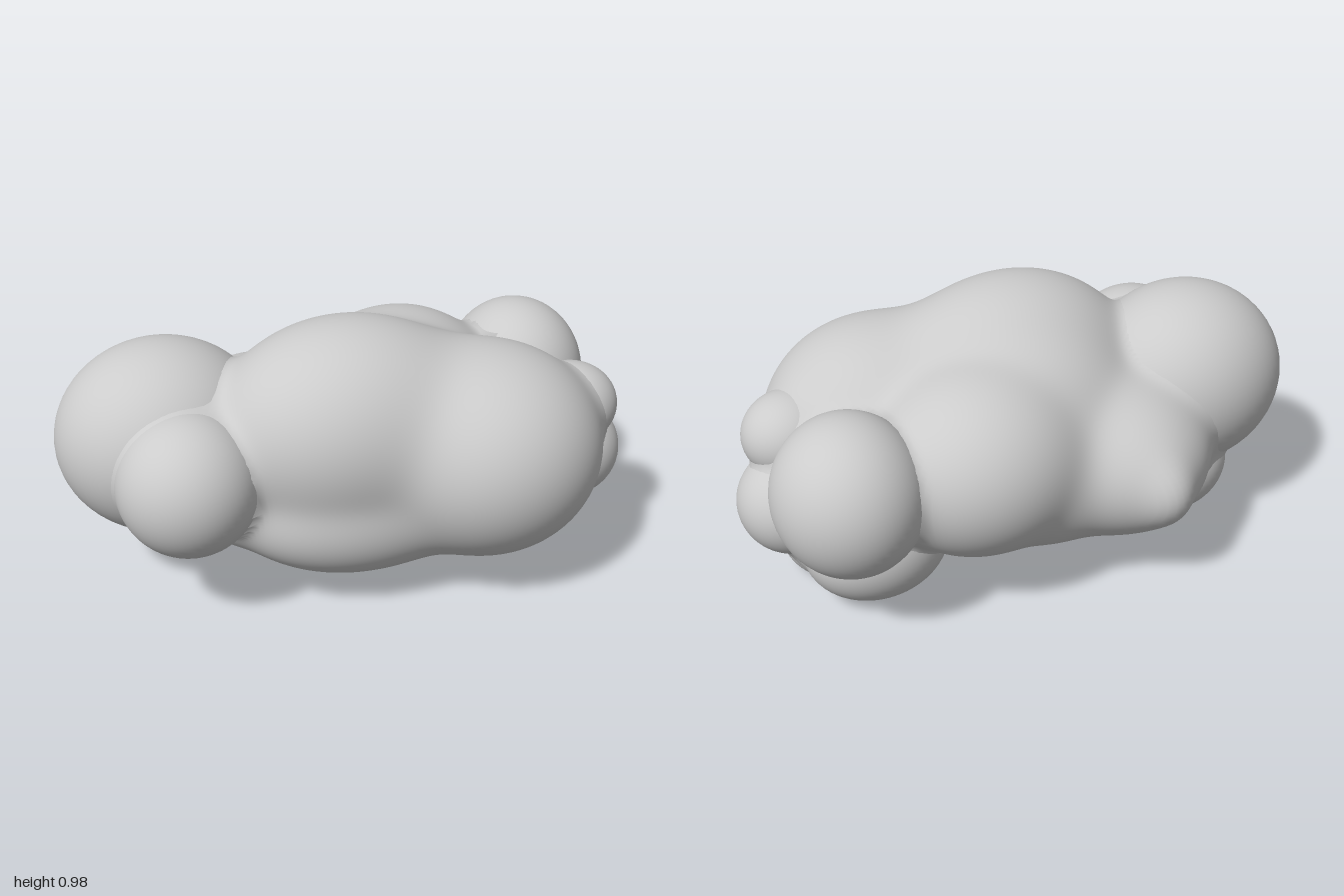
import * as THREE from 'three';

const material = new THREE.MeshStandardMaterial({ color: 0xcccccc });

// Core lobes, melted into one skin: centre x, y, z, then radii x, y, z
const coreLobes = [
  [-0.04, 0.61, 0.12, 0.46, 0.365, 0.355], // crown
  [0.0, 0.335, 0.19, 0.44, 0.24, 0.27], // belly
  [0.42, 0.495, 0.24, 0.41, 0.37, 0.395], // front bulge
  [0.26, 0.52, -0.19, 0.37, 0.32, 0.34], // rear bulge
  [-0.25, 0.42, -0.22, 0.34, 0.28, 0.36], // rear base
  [-0.26, 0.41, -0.49, 0.09, 0.11, 0.13], // rear peak
  [0.2, 0.56, 0.15, 0.35, 0.31, 0.34], // bridge from crown to front bulge
  [0.0, 0.54, -0.08, 0.38, 0.32, 0.3], // bridge from crown to rear
  [0.02, 0.42, -0.21, 0.28, 0.26, 0.27], // rear hollow
  [0.42, 0.25, 0.08, 0.24, 0.17, 0.2], // left underside
  [-0.28, 0.29, 0.0, 0.24, 0.17, 0.22], // right underside
];

// Outer puffs: name, centre, radii
const puffs = [
  ['rightBigPuff', [-0.63, 0.555, -0.09], [0.37, 0.338, 0.333]],
  ['rightFrontPuff', [-0.61, 0.515, 0.2], [0.243, 0.247, 0.245]],
  ['rightLowerPuff', [-0.52, 0.26, -0.15], [0.24, 0.2, 0.23]],
  ['leftRearPuff', [0.73, 0.54, -0.205], [0.252, 0.273, 0.265]],
  ['leftUpperPuff', [0.77, 0.575, 0.18], [0.17, 0.15, 0.16]],
  ['leftLowerPuff', [0.81, 0.36, 0.11], [0.19, 0.185, 0.19]],
  ['leftBottomFrontPuff', [0.62, 0.195, 0.11], [0.24, 0.195, 0.19]],
  ['leftBottomRearPuff', [0.58, 0.205, -0.04], [0.26, 0.205, 0.21]],
];

// The skin also reaches just under every puff, which rounds off the joints
const inset = 0.018;
const skinLobes = coreLobes.concat(
  puffs.map(([, centre, radii]) => [...centre, ...radii.map((r) => r - inset)]),
);

// Smooth union of the lobes: negative inside, positive outside
function skinField(p) {
  const k = 0.03;
  let sum = 0;
  for (const [x, y, z, a, b, c] of skinLobes) {
    const q = Math.hypot((p.x - x) / a, (p.y - y) / b, (p.z - z) / c);
    sum += Math.exp(-((q - 1) * Math.min(a, b, c)) / k);
  }
  return -k * Math.log(sum);
}

// Push every vertex of a sphere along its ray until it meets the field
function createSkin() {
  const geometry = new THREE.SphereGeometry(1, 192, 128);
  const { position, normal } = geometry.attributes;
  const centre = new THREE.Vector3(0.03, 0.46, 0.03);
  const direction = new THREE.Vector3();
  const point = new THREE.Vector3();
  const probe = new THREE.Vector3();
  const at = (r) => skinField(point.copy(centre).addScaledVector(direction, r));
  const e = 0.002;
  for (let i = 0; i < position.count; i++) {
    direction.fromBufferAttribute(position, i).normalize();
    let outer = 1.2;
    while (outer > 0.05 && at(outer - 0.02) > 0) outer -= 0.02;
    let inner = outer - 0.02;
    for (let n = 0; n < 14; n++) {
      const mid = (inner + outer) / 2;
      if (at(mid) > 0) outer = mid;
      else inner = mid;
    }
    at(inner);
    position.setXYZ(i, point.x, point.y, point.z);

    // Smooth normal from the slope of the field
    const slope = ['x', 'y', 'z'].map((axis) => {
      probe.copy(point)[axis] += e;
      const ahead = skinField(probe);
      probe[axis] -= 2 * e;
      return ahead - skinField(probe);
    });
    direction.fromArray(slope).normalize();
    normal.setXYZ(i, direction.x, direction.y, direction.z);
  }
  return geometry;
}

export function createModel() {
  const group = new THREE.Group();
  group.name = 'cloud';

  const skin = new THREE.Mesh(createSkin(), material);
  skin.name = 'cloudBody';
  group.add(skin);

  const ball = new THREE.SphereGeometry(1, 56, 36);
  for (const [name, centre, radii] of puffs) {
    const puff = new THREE.Mesh(ball, material);
    puff.name = name;
    puff.position.fromArray(centre);
    puff.scale.fromArray(radii);
    group.add(puff);
  }
  return group;
}
